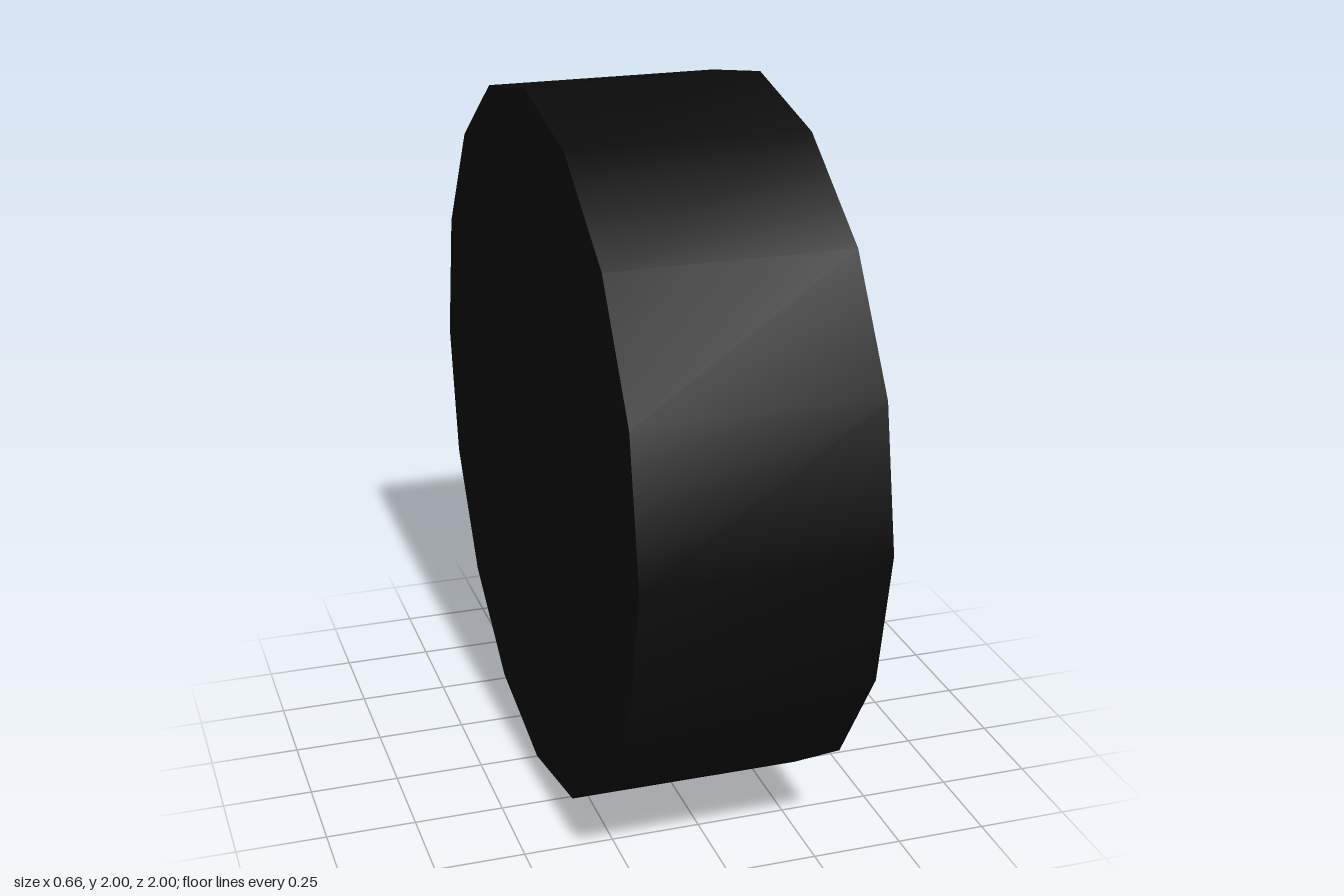
import * as THREE from 'three';
import { toCreasedNormals } from 'three/addons/utils/BufferGeometryUtils.js';

const SIDES = 16, STEP = (Math.PI * 2) / SIDES;
const HUB_R = 0.26, RIM_R = 0.69, TYRE_R = 1;
const FACE_X = 0.33, HUB_X = 0.21, FLOOR_X = 0.09;

const black = new THREE.MeshStandardMaterial({ color: 0x0a0a0a });
const grey = new THREE.MeshStandardMaterial({ color: 0xcccccc });

// Revolve a [radius, x] profile around the x axle
function turned(name, profile, material) {
  const points = profile.map(([r, x]) => new THREE.Vector2(r, x));
  const lathe = new THREE.LatheGeometry(points, SIDES).rotateZ(-Math.PI / 2);
  const mesh = new THREE.Mesh(toCreasedNormals(lathe, 0.6), material);
  mesh.name = name;
  return mesh;
}

// Wedge sloping from the rim lip down to the recessed hub, softly shaded over its edges
function spokeGeometry() {
  const corners = [[HUB_R, 0, HUB_X], [RIM_R, 0, FACE_X], [RIM_R, STEP, FACE_X], [HUB_R, STEP, HUB_X]];
  const positions = [];
  for (const back of [false, true]) {
    for (const [r, a, x] of corners) {
      positions.push(back ? FLOOR_X : x, r * Math.cos(a), r * Math.sin(a));
    }
  }
  const quads = [[0, 1, 2, 3], [1, 0, 4, 5], [3, 2, 6, 7]];
  const geometry = new THREE.BufferGeometry();
  geometry.setAttribute('position', new THREE.Float32BufferAttribute(positions, 3));
  geometry.setIndex(quads.flatMap(([a, b, c, d]) => [a, b, c, a, c, d]));
  geometry.computeVertexNormals();
  return geometry;
}

export function createModel() {
  const wheel = new THREE.Group();
  wheel.name = 'wheel';

  // Tyre with closed back, and the dark plate behind the spokes
  wheel.add(turned('tyre', [[0, -FACE_X], [TYRE_R, -FACE_X], [TYRE_R, FACE_X], [RIM_R, FACE_X]], black));
  wheel.add(turned('backPlate', [[RIM_R, FLOOR_X], [0, FLOOR_X]], black));

  // Rim wall and hub
  wheel.add(turned('rim', [[RIM_R, FACE_X], [RIM_R, FLOOR_X]], grey));
  wheel.add(turned('hub', [[HUB_R, FLOOR_X], [HUB_R, HUB_X], [0, HUB_X]], grey));

  // Eight spokes, one on every second side
  const geometry = spokeGeometry();
  for (let i = 0; i < SIDES / 2; i++) {
    const spoke = new THREE.Mesh(geometry, grey);
    spoke.name = `spoke${i + 1}`;
    spoke.rotation.x = i * 2 * STEP;
    wheel.add(spoke);
  }

  wheel.position.y = TYRE_R;
  const model = new THREE.Group();
  model.name = 'model';
  model.add(wheel);
  return model;
}
